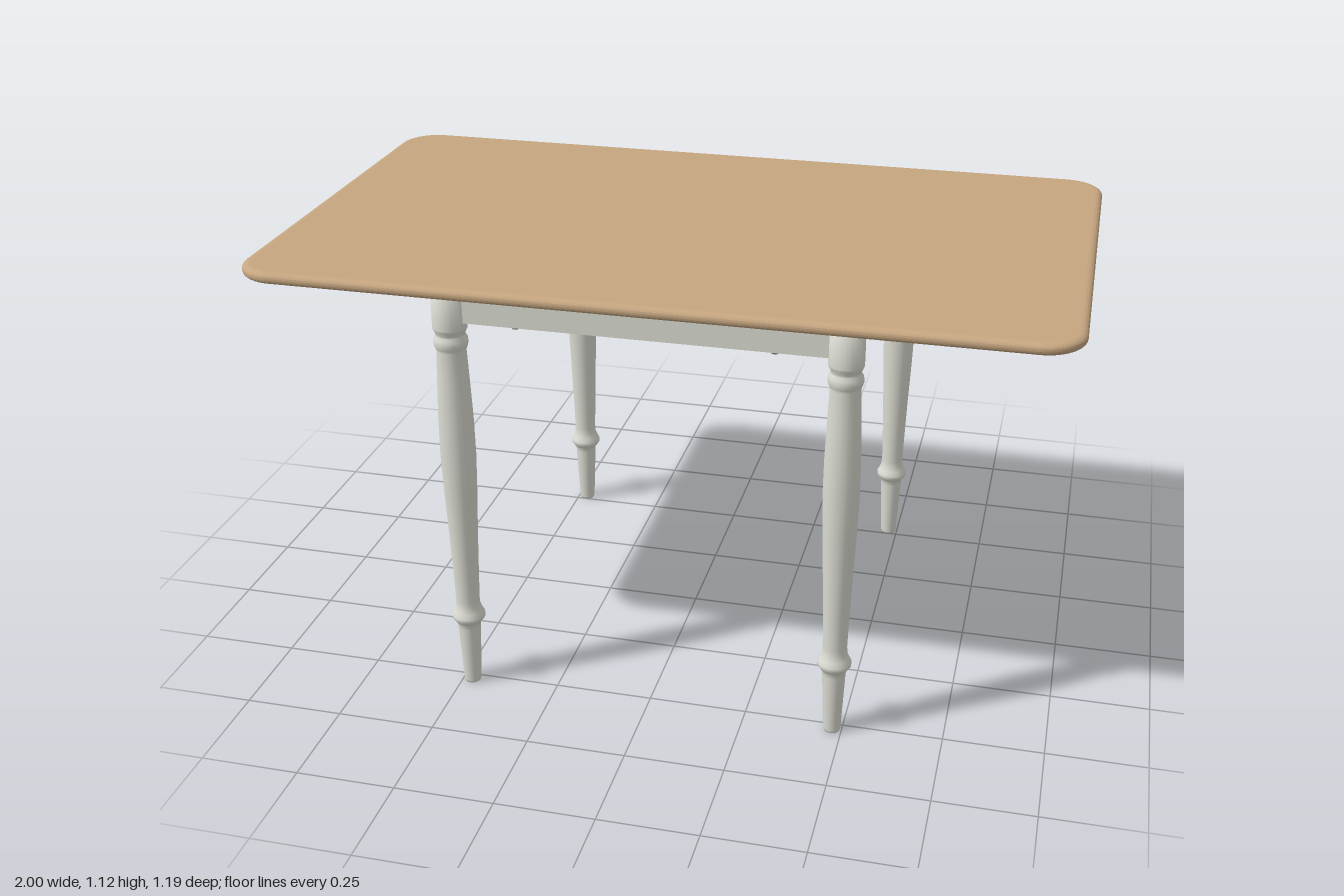
import * as THREE from 'three';

export function createModel() {
  const table = new THREE.Group();
  table.name = 'diningTable';
  const wood = new THREE.MeshStandardMaterial({ color: 0xc6a680 });
  wood.name = 'wood';
  const paint = new THREE.MeshStandardMaterial({ color: 0xdbdcd2 });
  paint.name = 'offWhitePaint';
  const metal = new THREE.MeshStandardMaterial({ color: 0x8c8f8d });
  metal.name = 'greyMetal';

  const add = (name, geometry, material, x, y, z) => {
    const mesh = new THREE.Mesh(geometry, material);
    mesh.name = name;
    mesh.position.set(x, y, z);
    table.add(mesh);
    return mesh;
  };
  const box = (name, w, h, d, material, x, y, z) =>
    add(name, new THREE.BoxGeometry(w, h, d), material, x, y, z);

  // Table top: rounded rectangle with a rounded edge
  const bevel = 0.02, w = 1 - bevel, d = 0.595 - bevel, r = 0.08;
  const outline = new THREE.Shape();
  outline.moveTo(-w + r, -d);
  outline.lineTo(w - r, -d);
  outline.absarc(w - r, -d + r, r, -Math.PI / 2, 0);
  outline.lineTo(w, d - r);
  outline.absarc(w - r, d - r, r, 0, Math.PI / 2);
  outline.lineTo(-w + r, d);
  outline.absarc(-w + r, d - r, r, Math.PI / 2, Math.PI);
  outline.lineTo(-w, -d + r);
  outline.absarc(-w + r, -d + r, r, Math.PI, Math.PI * 1.5);
  const topGeometry = new THREE.ExtrudeGeometry(outline, {
    depth: 0.004, bevelThickness: 0.013, bevelSize: bevel, bevelSegments: 5, curveSegments: 8,
  });
  topGeometry.rotateX(-Math.PI / 2);
  add('tableTop', topGeometry, wood, 0, 1.103, 0);

  // Turned legs: [radius, height] profile
  const legX = 0.475, legZ = 0.52;
  const profile = [
    [0, 0], [0.02, 0], [0.022, 0.006], [0.029, 0.165], [0.03, 0.178], [0.036, 0.185],
    [0.042, 0.194], [0.042, 0.203], [0.036, 0.214], [0.031, 0.228], [0.03, 0.245],
    [0.032, 0.32], [0.036, 0.44], [0.041, 0.56], [0.044, 0.66], [0.043, 0.76],
    [0.039, 0.87], [0.036, 0.94], [0.039, 0.948], [0.042, 0.958], [0.041, 0.97],
    [0.036, 0.978], [0.036, 0.984], [0.041, 0.995], [0.042, 1.0], [0.042, 1.092], [0, 1.092],
  ].map(([x, y]) => new THREE.Vector2(x, y));
  const legGeometry = new THREE.LatheGeometry(profile, 24);

  for (const sx of [-1, 1]) {
    // Short apron between front and back legs
    box('sideApron', 0.03, 0.077, legZ * 2, paint, sx * legX, 1.0535, 0);

    for (const sz of [-1, 1]) {
      add('leg', legGeometry, paint, sx * legX, 0, sz * legZ);

      // Diagonal brace and its bolt inside the apron corner
      const brace = box('cornerBrace', 0.19, 0.05, 0.012, paint, sx * 0.395, 1.045, sz * 0.437);
      brace.rotation.y = sx * sz * Math.PI / 4;
      const bolt = add('cornerBolt', new THREE.CylinderGeometry(0.01, 0.01, 0.05, 10),
        metal, sx * 0.41, 1.045, sz * 0.452);
      bolt.rotation.set(Math.PI / 2, 0, -sx * sz * Math.PI / 4);

      // Small screw heads under the aprons
      const screw = new THREE.CylinderGeometry(0.012, 0.009, 0.008, 10);
      add('apronScrew', screw, metal, sx * 0.31, 1.013, sz * legZ);
      add('apronScrew', screw, metal, sx * legX, 1.013, sz * 0.36);

      // Leaf hinge below the top
      box('hingePlate', 0.12, 0.006, 0.085, metal, sx * 0.57, 1.088, sz * 0.43);
      const pin = add('hingePin', new THREE.CylinderGeometry(0.007, 0.007, 0.085, 10),
        metal, sx * 0.55, 1.084, sz * 0.43);
      pin.rotation.x = Math.PI / 2;
    }
  }

  // Long aprons
  for (const sz of [-1, 1])
    box('longApron', legX * 2, 0.077, 0.03, paint, 0, 1.0535, sz * legZ);

  // Sliding leaf support rail with its centre stop
  box('supportRail', 1.9, 0.034, 0.06, paint, 0, 1.075, -0.045);
  box('railStop', 0.04, 0.04, 0.03, paint, 0, 1.072, 0);

  return table;
}
